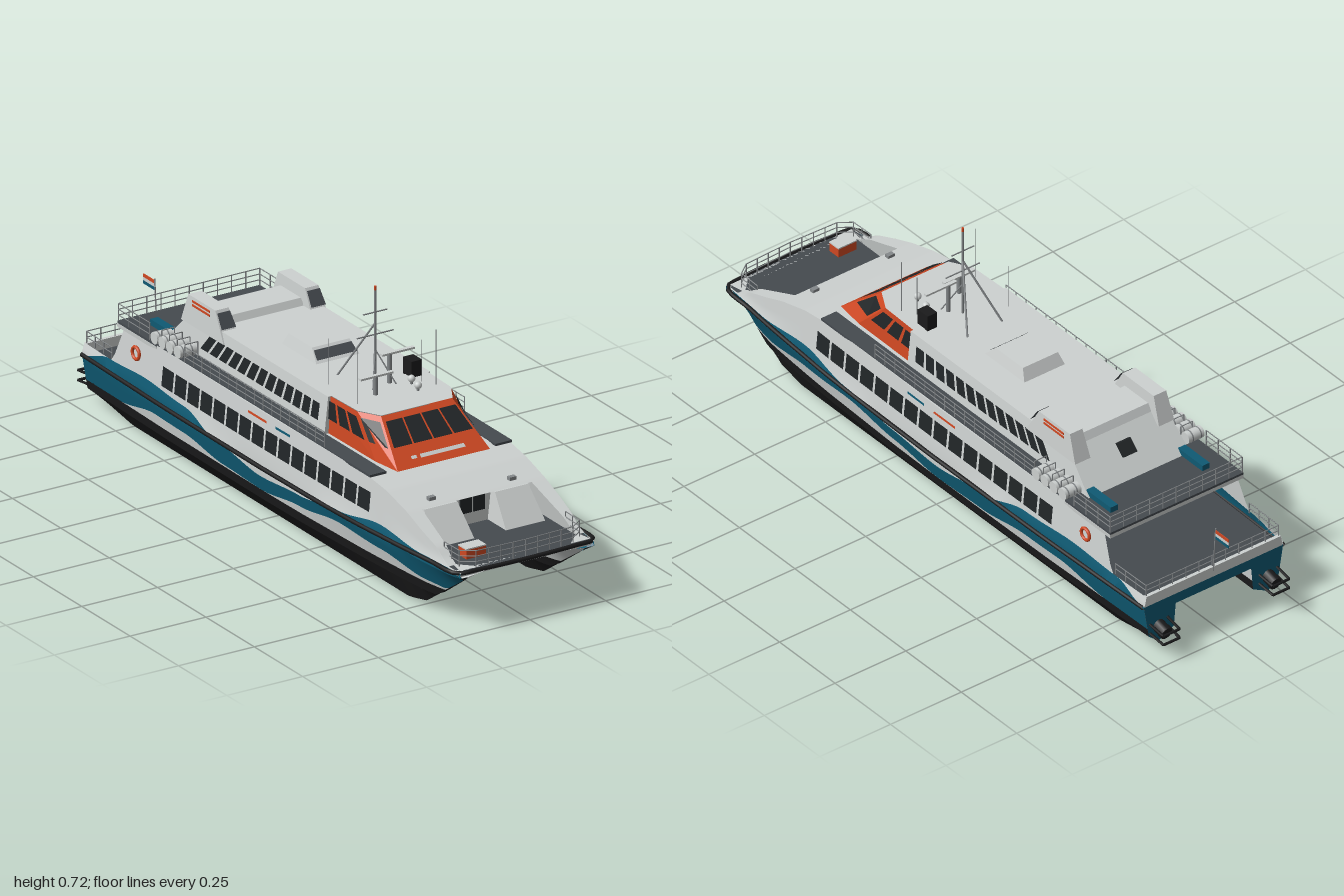
import * as THREE from 'three';
import { toCreasedNormals } from 'three/addons/utils/BufferGeometryUtils.js';

const mat = (name, color) => {
  const m = new THREE.MeshStandardMaterial({ color, side: THREE.DoubleSide });
  m.name = name;
  return m;
};
const V = (x, y, z) => new THREE.Vector3(x, y, z);
const clamp = THREE.MathUtils.clamp, lerp = THREE.MathUtils.lerp;

// value on a keyed line; keys run from stern to bow, optionally eased
function at(keys, z, ease) {
  if (z <= keys[0][0]) return keys[0][1];
  for (let i = 1; i < keys.length; i++) if (z <= keys[i][0]) {
    let t = (z - keys[i - 1][0]) / (keys[i][0] - keys[i - 1][0]);
    if (ease) t = t * t * (3 - 2 * t);
    return lerp(keys[i - 1][1], keys[i][1], t);
  }
  return keys[keys.length - 1][1];
}

// hull lines
const STERN = -0.93, BOW = 0.985, KEELX = 0.193;
const beam = z => at([[-0.93, 0.246], [-0.5, 0.256], [0, 0.259], [0.5, 0.253], [0.8, 0.24], [0.985, 0.222]], z);
const flare = y => at([[0, -0.03], [0.06, -0.018], [0.088, -0.013], [0.165, 0], [0.175, 0], [0.2, -0.008], [0.33, -0.021]], y);
const keel = z => at([[-0.93, 0.032], [-0.75, 0.004], [0.68, 0], [0.77, 0.02], [0.97, 0.155], [0.985, 0.168]], z);
const fine = z => at([[0.2, 1], [0.6, 0.65], [0.9, 0.15], [0.985, 0]], z);
const fullness = (z, y) => lerp(fine(z), 1, clamp((y - keel(z)) / Math.max(0.168 - keel(z), 0.001), 0, 1));
const sideX = (z, y) => KEELX + (beam(z) + flare(y) - KEELX) * (y >= 0.168 ? 1 : fullness(z, y));
const innerX = (z, y) => KEELX + (lerp(0.14, 0.133, clamp((y - 0.06) / 0.075, 0, 1)) - KEELX) * fullness(z, y);
const tunnel = z => at([[-0.93, 0.135], [0.78, 0.135], [0.97, 0.17], [0.985, 0.176]], z);
const topLine = z => at([[-0.93, 0.2], [-0.78, 0.2], [-0.73, 0.322], [0.5, 0.322], [0.62, 0.305],
  [0.72, 0.278], [0.87, 0.222], [0.9, 0.2], [0.93, 0.187], [0.985, 0.185]], z);
const waveTop = z => at([[-0.93, 0.168], [-0.8, 0.2], [-0.6, 0.21], [-0.4, 0.2], [-0.2, 0.16], [0, 0.135],
  [0.2, 0.148], [0.4, 0.175], [0.6, 0.2], [0.8, 0.185], [0.985, 0.182]], z, true);
const waveLow = z => at([[-0.93, 0.088], [-0.75, 0.09], [-0.55, 0.122], [-0.4, 0.12], [-0.2, 0.095], [0, 0.09],
  [0.2, 0.112], [0.4, 0.135], [0.6, 0.125], [0.8, 0.1], [0.985, 0.09]], z, true);

export function createModel() {
  const ship = new THREE.Group();
  ship.name = 'catamaranFerry';
  const white = mat('hullWhite', 0xcdd1d0), teal = mat('teal', 0x0f5a73), orange = mat('orange', 0xcf4822),
    black = mat('black', 0x1b1b1c), deck = mat('deckGrey', 0x454a4f), metal = mat('railMetal', 0x85898b),
    glass = mat('glass', 0x212527);

  const add = (name, geo, m) => {
    const mesh = new THREE.Mesh(geo, m);
    mesh.name = name;
    ship.add(mesh);
    return mesh;
  };
  // surface from a rule f(u, v)
  const sheet = (name, m, nu, nv, f) => {
    const pos = [], idx = [];
    for (let i = 0; i <= nu; i++) for (let j = 0; j <= nv; j++) pos.push(...f(i / nu, j / nv));
    for (let i = 0; i < nu; i++) for (let j = 0; j < nv; j++) {
      const a = i * (nv + 1) + j, b = a + nv + 1;
      idx.push(a, b, a + 1, b, b + 1, a + 1);
    }
    const g = new THREE.BufferGeometry();
    g.setAttribute('position', new THREE.Float32BufferAttribute(pos, 3));
    g.setIndex(idx);
    return add(name, toCreasedNormals(g, 0.4), m);
  };
  const poly = (name, m, pts) => {
    const g = new THREE.BufferGeometry().setFromPoints(pts), idx = [];
    for (let i = 1; i < pts.length - 1; i++) idx.push(0, i, i + 1);
    g.setIndex(idx);
    const flat = g.toNonIndexed();
    flat.computeVertexNormals();
    return add(name, flat, m);
  };
  // rectangle inside a four-cornered face, lifted off it: a,b bottom, c,d top
  const pane = (name, m, [a, b, c, d], u0, u1, v0, v1, out) => {
    const p = (u, v) => a.clone().lerp(b, u).lerp(d.clone().lerp(c, u), v).add(out);
    return poly(name, m, [p(u0, v0), p(u1, v0), p(u1, v1), p(u0, v1)]);
  };
  // box with its own bottom and top rectangle
  const prism = (name, m, cx, [xb, xt], [y0, y1], [b0, b1], [t0, t1] = [b0, b1]) => {
    const g = new THREE.BoxGeometry(1, 1, 1).toNonIndexed(), p = g.attributes.position;
    for (let i = 0; i < p.count; i++) {
      const top = p.getY(i) > 0, front = p.getZ(i) > 0;
      p.setXYZ(i, cx + Math.sign(p.getX(i)) * (top ? xt : xb), top ? y1 : y0,
        top ? (front ? t1 : t0) : (front ? b1 : b0));
    }
    g.computeVertexNormals();
    return add(name, g, m);
  };
  const bar = (name, m, a, b, r = 0.002, sides = 6) => {
    const mesh = add(name, new THREE.CylinderGeometry(r, r, a.distanceTo(b), sides), m);
    mesh.position.copy(a).lerp(b, 0.5);
    mesh.quaternion.setFromUnitVectors(V(0, 1, 0), b.clone().sub(a).normalize());
    return mesh;
  };
  const railing = (name, pts, height, rows = 3, gap = 0.05) => {
    for (let i = 1; i < pts.length; i++) {
      const a = pts[i - 1], b = pts[i], n = Math.max(1, Math.round(a.distanceTo(b) / gap));
      for (let r = 1; r <= rows; r++) {
        const h = V(0, height * r / rows, 0);
        bar(name, metal, a.clone().add(h), b.clone().add(h), 0.0016, 5);
      }
      for (let k = 0; k <= n; k++) {
        const p = a.clone().lerp(b, k / n);
        bar(name + 'Post', metal, p, p.clone().add(V(0, height, 0)), 0.0018, 5);
      }
    }
  };
  const zAt = u => lerp(STERN, BOW, u);

  for (const s of [1, -1]) {
    // hull skin in horizontal colour bands
    const band = (name, m, x, lo, hi) => sheet(name, m, 120, 4, (u, v) => {
      const z = zAt(u), y = Math.max(keel(z), lerp(lo(z), hi(z), v));
      return [s * x(z, y), y, z];
    });
    const chine = z => Math.max(0.06, keel(z));
    for (const x of [sideX, innerX]) {
      sheet('hullBottom', black, 80, 1, (u, v) => {
        const z = zAt(u);
        return v ? [s * x(z, chine(z)), chine(z), z] : [s * KEELX, keel(z), z];
      });
      band('hullBlackBand', black, x, () => 0.06, () => 0.09);
    }
    band('innerHullSide', white, innerX, () => 0.09, tunnel);
    band('lowerWhiteWave', white, sideX, () => 0.09, z => Math.max(0.09, waveLow(z)));
    band('tealWave', teal, sideX, waveLow, waveTop);
    band('shipSide', white, sideX, waveTop, z => Math.max(topLine(z), waveTop(z)));
    poly('transom', teal, [[KEELX, 0.032], [sideX(STERN, 0.06), 0.06], [sideX(STERN, 0.168), 0.168], [0.13, 0.168],
      [innerX(STERN, 0.06), 0.06]].map(([x, y]) => V(s * x, y, STERN)));
    // side wings beside the bow deck
    sheet('bowWingTop', white, 16, 1, (u, v) => {
      const z = lerp(0.71, 0.93, u), y = topLine(z);
      return [s * (v ? sideX(z, y) : 0.2 - 0.02 * (y - 0.18) / 0.1), y, z];
    });
    sheet('bowWingInside', white, 16, 1, (u, v) => {
      const z = lerp(0.71, 0.93, u), y = topLine(z);
      return v ? [s * (0.2 - 0.02 * (y - 0.18) / 0.1), y, z] : [s * 0.2, 0.18, z];
    });
    prism('bowSlopedPanel', white, s * 0.117, [0.065, 0.055], [0.183, 0.272], [0.7, 0.795], [0.7, 0.722]);
    poly('bowCornerPlate', white, [V(s * 0.215, 0.187, 0.975), V(s * 0.15, 0.187, 0.975), V(s * 0.205, 0.187, 0.92)]);
    prism('bowLamp', metal, s * 0.133, [0.011, 0.011], [0.285, 0.295], [0.69, 0.705]);

    // main deck windows
    for (let i = 0; i < 16; i++) {
      const z = 0.55 - i * 0.0672, e = 0.003;
      poly('saloonWindow', glass, [[z, 0.22], [z - 0.058, 0.22], [z - 0.058, 0.278], [z, 0.278]]
        .map(([w, y]) => V(s * (sideX(w, y) + e), y, w)));
    }
    const stripe = (z0, z1, m) => poly('sideStripe', m, [[z0, 0.297], [z1, 0.297], [z1, 0.304], [z0, 0.304]]
      .map(([w, y]) => V(s * (sideX(w, y) + 0.003), y, w)));
    stripe(0.14, 0.065, teal);
    stripe(0.02, -0.075, orange);
    // life ring on the aft wing
    const ring = add('lifeRing', new THREE.TorusGeometry(0.018, 0.005, 8, 24), orange);
    ring.position.set(s * (sideX(-0.66, 0.265) + 0.003), 0.265, -0.66);
    ring.rotation.y = Math.PI / 2;

    // upper deck side walk, windows, railing and rafts
    prism('sideWalk', deck, s * 0.207, [0.027, 0.027], [0.318, 0.325], [-0.58, 0.54]);
    const wall = [V(s * 0.18, 0.322, 0.22), V(s * 0.18, 0.322, -0.6), V(s * 0.168, 0.432, -0.49), V(s * 0.168, 0.432, 0.22)];
    for (let i = 0; i < 13; i++) {
      const u = 0.045 + i * 0.06;
      pane('upperWindow', glass, wall, u, u + 0.047, 0.27, 0.72, V(s * 0.003, 0, 0));
    }
    railing('sideRailing', [V(s * 0.231, 0.322, 0.3), V(s * 0.233, 0.322, -0.42)], 0.047, 3, 0.045);
    for (let i = 0; i < 4; i++) {
      const z = -0.44 - i * 0.04;
      bar('lifeRaft', white, V(s * 0.19, 0.347, z), V(s * 0.245, 0.347, z), 0.018, 16);
      for (const x of [0.203, 0.232]) bar('raftStrap', metal, V(s * x, 0.347, z), V(s * (x + 0.004), 0.347, z), 0.0186, 16);
      railing('raftCradle', [V(s * 0.19, 0.325, z + 0.02), V(s * 0.232, 0.325, z + 0.02)], 0.05, 1);
    }
    prism('deckLocker', teal, s * 0.162, [0.013, 0.013], [0.325, 0.343], [-0.69, -0.58]);

    // exhaust housings
    prism('funnel', white, s * 0.148, [0.027, 0.022], [0.4, 0.485], [-0.53, -0.31], [-0.5, -0.36]);
    poly('funnelGrille', deck, [[0.024, 0.436, -0.327], [-0.024, 0.436, -0.327], [-0.021, 0.476, -0.3585 + 0.004], [0.021, 0.476, -0.3545]]
      .map(([x, y, z]) => V(s * 0.148 + x, y + 0.003, z + 0.003)));
    for (const y of [0.458, 0.47]) prism('funnelStripe', orange, s * 0.1725, [0.001, 0.001], [y, y + 0.006], [-0.475, -0.385]);

    // jet drives and guards at the transom
    bar('jetNozzle', black, V(s * 0.193, 0.085, -0.925), V(s * 0.193, 0.075, -0.965), 0.02, 12);
    for (const y of [0.07, 0.1]) {
      const c = [V(s * 0.162, y, -0.93), V(s * 0.165, y - 0.008, -0.988), V(s * 0.222, y - 0.008, -0.988), V(s * 0.224, y, -0.93)];
      for (let i = 0; i < 3; i++) bar('jetGuard', black, c[i], c[i + 1], 0.004);
    }
    railing('sternRailing', [V(s * 0.236, 0.2, -0.79), V(s * 0.234, 0.2, -0.925), V(0, 0.2, -0.925)], 0.035, 2);
    railing('aftDeckRailing', [V(s * 0.233, 0.325, -0.6), V(s * 0.233, 0.325, -0.762), V(0, 0.325, -0.762)], 0.052, 3);
    railing('bowRailing', [V(s * 0.2, 0.185, 0.87), V(s * 0.198, 0.185, 0.945), V(s * 0.16, 0.185, 0.972), V(0, 0.185, 0.978)], 0.05, 3, 0.04);
  }

  // bridging structure and decks
  sheet('tunnelRoof', white, 60, 1, (u, v) => {
    const z = zAt(u), y = tunnel(z);
    return [(v * 2 - 1) * (innerX(z, y) + 0.005), y, z];
  });
  const across = (name, m, z0, z1, y, x) => sheet(name, m, 24, 1, (u, v) => {
    const z = lerp(z0, z1, u);
    return [(v * 2 - 1) * x(z, y(z)), y(z), z];
  });
  across('foreDeck', deck, 0.68, BOW, () => 0.184, z => beam(z) - 0.005);
  across('sternDeck', deck, STERN, -0.57, () => 0.17, z => beam(z) - 0.008);
  across('saloonRoof', white, -0.58, 0.5, topLine, sideX);
  across('saloonFrontRoof', white, 0.5, 0.725, topLine, sideX);
  prism('bowEdge', white, 0, [0.215, 0.221], [0.168, 0.184], [0.95, 0.975], [0.95, 0.986]);
  prism('transomBeam', teal, 0, [0.14, 0.14], [0.134, 0.168], [-0.93, -0.91]);
  prism('sternBulwark', white, 0, [0.244, 0.237], [0.167, 0.2], [-0.931, -0.92]);
  prism('aftBulkhead', white, 0, [0.246, 0.234], [0.17, 0.32], [-0.59, -0.57]);
  for (const x of [-0.05, 0.05]) prism('aftDoor', glass, x, [0.03, 0.03], [0.175, 0.27], [-0.594, -0.589]);
  prism('frontBulkhead', white, 0, [0.2, 0.18], [0.183, 0.28], [0.68, 0.7]);
  for (const x of [-0.022, 0.022]) prism('frontDoor', glass, x, [0.019, 0.019], [0.22, 0.27], [0.698, 0.704]);
  prism('aftUpperDeck', deck, 0, [0.235, 0.235], [0.318, 0.325], [-0.765, -0.56]);
  prism('aftDeckUnderside', white, 0, [0.235, 0.236], [0.306, 0.318], [-0.765, -0.56]);
  prism('bowLocker', orange, -0.13, [0.032, 0.032], [0.192, 0.22], [0.885, 0.925]);
  prism('bowLockerLid', white, -0.13, [0.033, 0.033], [0.22, 0.224], [0.884, 0.926]);

  // rub rail around both sides and the bow
  const edge = [];
  for (let i = 0; i <= 16; i++) {
    const z = lerp(STERN, 0.975, i / 16);
    edge.push(V(beam(z) + 0.001, at([[0.3, 0.166], [0.985, 0.182]], z), z));
  }
  const path = [...edge, V(0.16, 0.183, 0.985), V(0, 0.183, 0.99), V(-0.16, 0.183, 0.985),
    ...edge.slice().reverse().map(p => V(-p.x, p.y, p.z))];
  add('rubRail', new THREE.TubeGeometry(new THREE.CatmullRomCurve3(path), 160, 0.0065, 8), black);

  // upper house and roof units
  prism('upperHouse', white, 0, [0.18, 0.168], [0.322, 0.432], [-0.6, 0.22], [-0.49, 0.22]);
  prism('aftWindow', glass, 0, [0.025, 0.025], [0.372, 0.402], [-0.556, -0.54], [-0.526, -0.51]);
  prism('funnelBridge', white, 0, [0.125, 0.122], [0.425, 0.452], [-0.495, -0.36], [-0.48, -0.375]);
  prism('roofUnit', white, 0, [0.072, 0.062], [0.43, 0.467], [-0.17, 0.01], [-0.15, -0.03]);
  poly('roofUnitGrille', deck, [V(-0.066, 0.44, 0.003), V(0.066, 0.44, 0.003), V(0.062, 0.462, -0.02), V(-0.062, 0.462, -0.02)]);

  // wheelhouse lofted from deck plan to roof plan
  const low = [[0.167, 0.2], [0.165, 0.46], [0.152, 0.555]].map(([x, z]) => V(x, 0.322, z));
  const high = [[0.16, 0.2], [0.155, 0.35], [0.118, 0.415]].map(([x, z]) => V(x, 0.432, z));
  const flip = p => V(-p.x, p.y, p.z);
  const ringOf = a => [...a, ...a.slice().reverse().map(flip)];
  const L = ringOf(low), H = ringOf(high);
  const panes = [[[0.08, 0.3], [0.36, 0.6], [0.66, 0.94]], [[0.08, 0.92]],
    [[0.03, 0.25], [0.27, 0.49], [0.51, 0.73], [0.75, 0.97]], [[0.08, 0.92]], [[0.06, 0.34], [0.4, 0.64], [0.7, 0.92]]];
  panes.forEach((list, i) => {
    const face = [L[i], L[i + 1], H[i + 1], H[i]];
    poly('wheelhouseWall', orange, face);
    const out = L[i + 1].clone().sub(L[i]).cross(H[i].clone().sub(L[i])).normalize().multiplyScalar(0.004);
    if (out.x * (L[i].x + L[i + 1].x) + out.z < 0) out.negate();
    for (const [u0, u1] of list) pane('wheelhouseWindow', glass, face, u0, u1, 0.4, 0.88, out);
    if (i === 2) {
      pane('frontPlate', white, face, 0.22, 0.72, 0.13, 0.2, out);
      pane('frontPlateSmall', white, face, 0.76, 0.82, 0.14, 0.2, out);
    }
  });
  poly('wheelhouseRoof', white, H.map(p => p.clone().add(V(0, 0.002, 0))));

  // mast, radars and aerials
  bar('mast', metal, V(0, 0.43, 0.2), V(0, 0.71, 0.2), 0.004, 8);
  bar('mastLight', orange, V(0, 0.71, 0.2), V(0, 0.722, 0.2), 0.004, 8);
  for (const s of [1, -1]) bar('mastLeg', metal, V(0, 0.61, 0.2), V(s * 0.062, 0.43, 0.1), 0.003);
  for (const s of [1, -1]) bar('mastStay', metal, V(0, 0.53, 0.2), V(s * 0.04, 0.43, 0.25), 0.002);
  bar('crossbar', metal, V(-0.04, 0.643, 0.2), V(0.04, 0.643, 0.2), 0.002);
  bar('crossbar', metal, V(-0.06, 0.576, 0.2), V(0.06, 0.576, 0.2), 0.002);
  for (const [x, y, z] of [[-0.05, 0.49, 0.28], [0.028, 0.523, 0.23]]) {
    bar('radarPedestal', metal, V(x, 0.43, z), V(x, y, z), 0.007, 10);
    prism('radarScanner', white, x + (x > 0 ? 0.027 : 0.002), [0.054, 0.054], [y - 0.003, y + 0.003], [z - 0.006, z + 0.006]);
  }
  prism('roofLocker', black, 0.115, [0.017, 0.017], [0.432, 0.482], [0.19, 0.235]);
  for (const [x, z] of [[0.065, 0.32], [0.075, 0.27]]) {
    bar('domeStand', metal, V(x, 0.432, z), V(x, 0.446, z), 0.004, 8);
    add('aerialDome', new THREE.SphereGeometry(0.011, 12, 8), white).position.set(x, 0.45, z);
  }
  for (const [x, y, z] of [[-0.13, 0.6, 0.31], [0.13, 0.6, 0.31], [-0.118, 0.57, 0.145], [0.107, 0.56, 0.27]])
    bar('whipAerial', metal, V(x, 0.43, z), V(x, y, z), 0.001, 5);

  // stern flag
  bar('flagpole', metal, V(0, 0.17, -0.928), V(0, 0.335, -0.94), 0.002);
  [orange, white, teal].forEach((m, i) =>
    prism('flagBand', m, 0, [0.001, 0.001], [0.32 - i * 0.01, 0.33 - i * 0.01], [-0.998, -0.94]));
  return ship;
}
